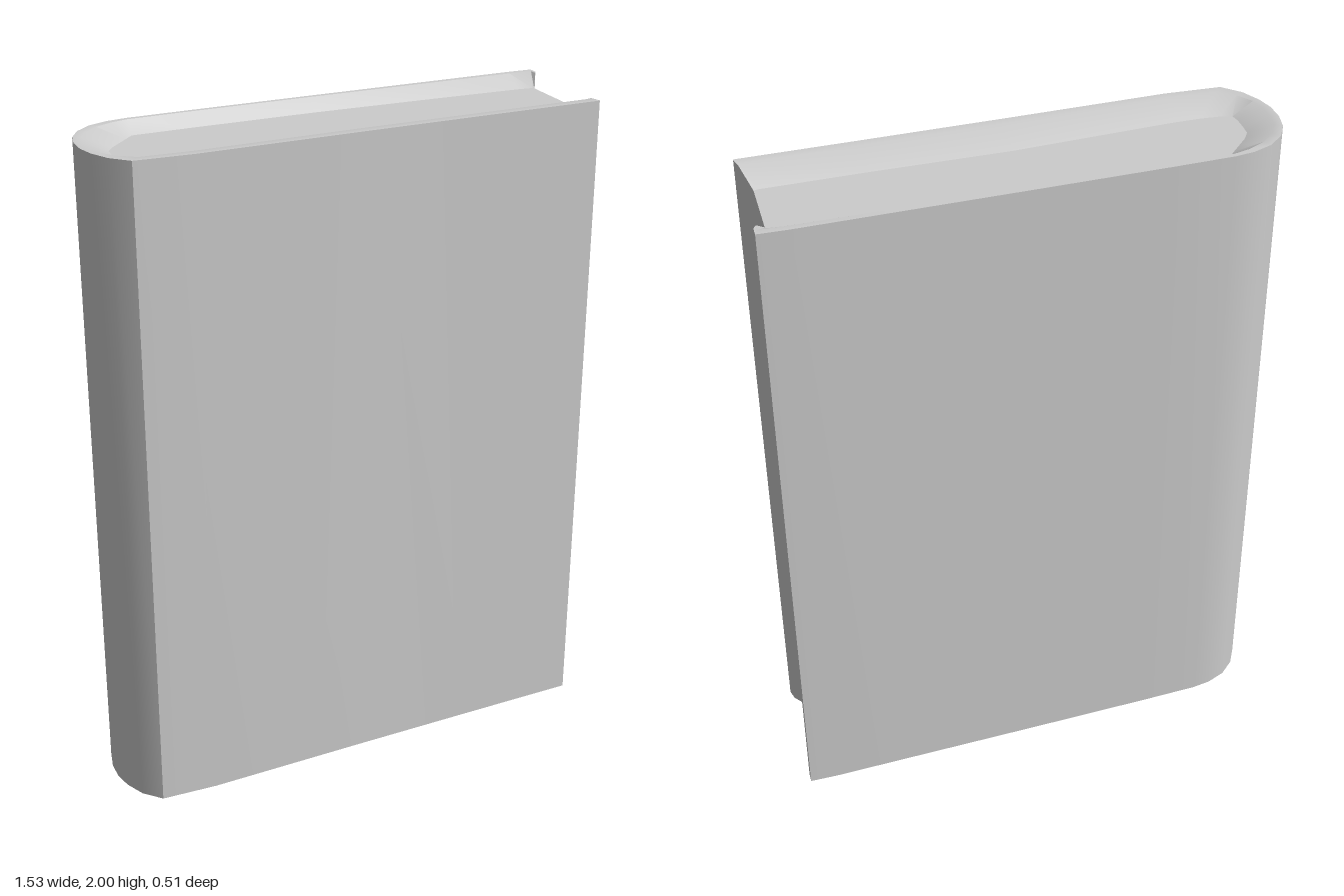
import * as THREE from 'three';
import { toCreasedNormals, mergeGeometries } from 'three/addons/utils/BufferGeometryUtils.js';

const HEIGHT = 2, TOP_DIP = 0.035, BOTTOM_DIP = 0.05;

// Cover outline seen from above, back fore edge -> spine -> front fore edge.
// Each entry: outer x, outer z, then x, z where the sunken page floor begins.
const OUTLINE = [
  [0.765, -0.225, 0.73, -0.165],
  [0.765, -0.257, 0.725, -0.17],
  [0.68, -0.255, 0.68, -0.172],
  [0.41, -0.237, 0.41, -0.165],
  [0, -0.21, 0, -0.15],
  [-0.38, -0.184, -0.38, -0.125],
  [-0.56, -0.17, -0.565, -0.11],
  [-0.62, -0.158, -0.59, -0.08],
  [-0.68, -0.13, -0.62, -0.045],
  [-0.725, -0.085, -0.65, -0.01],
  [-0.753, -0.03, -0.668, 0.022],
  [-0.765, 0.03, -0.67, 0.06],
  [-0.764, 0.09, -0.67, 0.1],
  [-0.75, 0.145, -0.665, 0.13],
  [-0.72, 0.205, -0.63, 0.138],
  [-0.67, 0.254, -0.57, 0.14],
  [-0.5, 0.254, -0.48, 0.135],
  [0, 0.217, 0, 0.085],
  [0.41, 0.189, 0.41, 0.065],
  [0.765, 0.166, 0.72, 0.045],
  [0.765, 0.16, 0.73, 0.04],
];

// Surface through rows of points; each row has the same count.
function skin(rows) {
  const n = rows[0].length, index = [];
  for (let r = 0; r < rows.length - 1; r++) {
    for (let c = 0; c < n - 1; c++) {
      const a = r * n + c, b = a + 1, d = a + n, e = d + 1;
      index.push(a, b, d, b, e, d);
    }
  }
  const geo = new THREE.BufferGeometry().setFromPoints(rows.flat());
  geo.setIndex(index);
  return toCreasedNormals(geo, 0.5);
}

// Outline at height y, moved by t from the outer edge (0) to the page floor (1)
const ring = (t, y) => OUTLINE.map(([x, z, fx, fz]) =>
  new THREE.Vector3(x + (fx - x) * t, y, z + (fz - z) * t));

// Flat page floor, facing up (side 1) or down (side -1)
function pageFloor(side, y) {
  const shape = new THREE.Shape(OUTLINE.map(([, , x, z]) => new THREE.Vector2(x, -side * z)));
  const geo = new THREE.ShapeGeometry(shape).rotateX(-side * Math.PI / 2).translate(0, y, 0);
  geo.deleteAttribute('uv');
  return geo.toNonIndexed();
}

export function createModel() {
  const book = new THREE.Group();
  book.name = 'book';
  const material = new THREE.MeshStandardMaterial({ color: 0xcccccc, side: THREE.DoubleSide });
  const add = (name, geo) => {
    const mesh = new THREE.Mesh(geo, material);
    mesh.name = name;
    book.add(mesh);
  };
  const floorTop = HEIGHT - TOP_DIP, floorBottom = BOTTOM_DIP;

  // Wrapped cover with narrow rims and walls sloping in to the pages
  add('cover', skin([
    ring(1, floorBottom), ring(0.25, 0), ring(0, 0),
    ring(0, HEIGHT), ring(0.25, HEIGHT), ring(1, floorTop),
  ]));

  // Sunken page ends
  add('pageEnds', mergeGeometries([pageFloor(1, floorTop), pageFloor(-1, floorBottom)]));

  // Hollow fore edge between the two boards
  const first = OUTLINE[0], last = OUTLINE[OUTLINE.length - 1];
  const groove = (yBoard, yRim, yPage) => {
    const point = ([x, z, fx, fz], t, y) =>
      new THREE.Vector3(x + (fx - x) * t, y, z + (fz - z) * t);
    return [
      point(last, 0, yBoard), point(last, 0.25, yRim), point(last, 1, yPage),
      point(first, 1, yPage), point(first, 0.25, yRim), point(first, 0, yBoard),
    ];
  };
  add('foreEdge', skin([groove(0, 0, floorBottom), groove(HEIGHT, HEIGHT, floorTop)]));

  return book;
}
